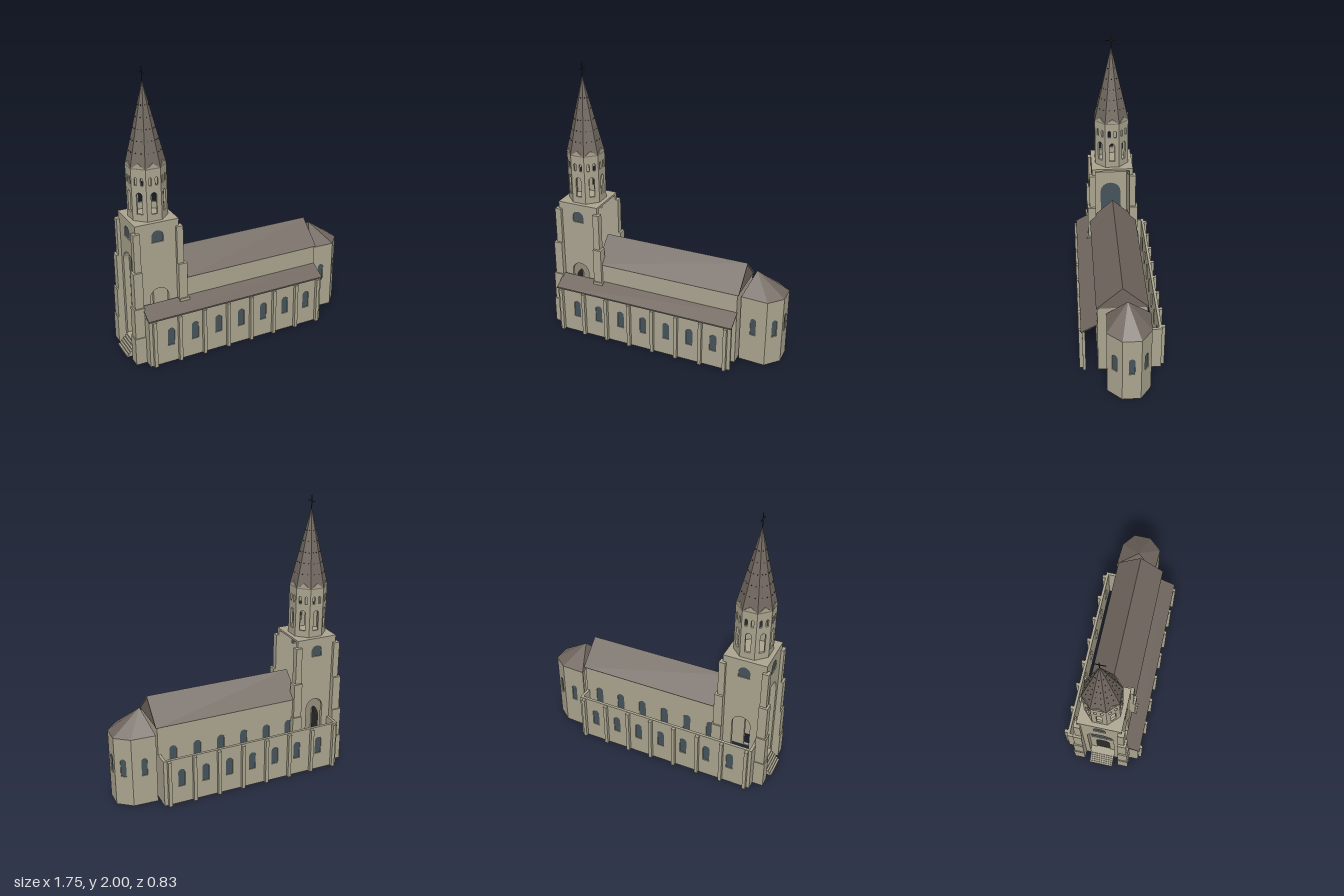
import * as THREE from 'three';

const mat = (name, color, side = THREE.FrontSide) =>
  Object.assign(new THREE.MeshStandardMaterial({ color, side, flatShading: true }), { name });
const stone = mat('stone', 0xaaa48f);
const roof = mat('roof', 0x6f665e, THREE.DoubleSide);
const glass = mat('glass', 0x46535a, THREE.DoubleSide);
const dark = mat('dark', 0x2b2b2b, THREE.DoubleSide);

function add(parent, name, geo, material, x = 0, y = 0, z = 0, ry = 0) {
  const m = new THREE.Mesh(geo, material);
  m.name = name;
  m.position.set(x, y, z);
  m.rotation.y = ry;
  parent.add(m);
  return m;
}

// Round-headed outline, width w, from y0 up to y1
function arch(Type, [cx, w, y0, y1]) {
  const r = w / 2, p = new Type();
  p.moveTo(cx - r, y0);
  p.lineTo(cx + r, y0);
  p.lineTo(cx + r, y1 - r);
  p.absarc(cx, y1 - r, r, 0, Math.PI, false);
  p.lineTo(cx - r, y0);
  return p;
}

// Wall whose outer face is at local z = 0; openings are [centre, width, bottom, top, filling]
function wall(parent, name, w, h, t, openings, x, y, z, ry, peak = 0) {
  const g = new THREE.Group();
  g.name = name;
  const s = new THREE.Shape();
  s.moveTo(-w / 2, 0);
  s.lineTo(w / 2, 0);
  s.lineTo(w / 2, h);
  if (peak) s.lineTo(0, h + peak);
  s.lineTo(-w / 2, h);
  s.closePath();
  openings.forEach(o => s.holes.push(arch(THREE.Path, o)));
  add(g, name + 'Stone', new THREE.ExtrudeGeometry(s, { depth: t, bevelEnabled: false, curveSegments: 6 }),
    stone, 0, 0, -t);
  openings.filter(o => o[4]).forEach(o =>
    add(g, name + 'Pane', new THREE.ShapeGeometry(arch(THREE.Shape, o), 6), o[4], 0, 0, -0.006));
  g.position.set(x, y, z);
  g.rotation.y = ry;
  parent.add(g);
}

// Profile of [z, y] points swept along x
function sweep(parent, name, pts, x0, x1, material) {
  const s = new THREE.Shape(pts.map(([z, y]) => new THREE.Vector2(-z, y)));
  const geo = new THREE.ExtrudeGeometry(s, { depth: x1 - x0, bevelEnabled: false });
  geo.rotateY(Math.PI / 2);
  add(parent, name, geo, material, x0);
}

const E = Math.PI / 2, W = -Math.PI / 2, N = Math.PI;

function buildNave(g) {
  const x0 = -0.49, x1 = 0.59, mid = (x0 + x1) / 2;
  for (const s of [1, -1]) {
    const openings = [];
    for (let i = 0; i < 6; i++) openings.push([s * (-0.42 + i * 0.18 - mid), 0.055, 0.25, 0.4, glass]);
    wall(g, 'naveWall', x1 - x0, 0.565, 0.02, openings, mid, 0, s * 0.17, s > 0 ? 0 : N);
  }
  wall(g, 'naveEndWall', 0.34, 0.56, 0.015, [], x1, 0, 0, E);
  sweep(g, 'naveRoof', [[-0.178, 0.56], [0, 0.725], [0.178, 0.56], [0.165, 0.555], [0, 0.71], [-0.165, 0.555]],
    x0, 0.6, roof);
  sweep(g, 'naveGable', [[-0.175, 0.56], [0, 0.722], [0.175, 0.56]], 0.585, 0.597, roof);
}

function buildAisles(g) {
  const x0 = -0.778, x1 = 0.59, mid = (x0 + x1) / 2;
  for (const s of [1, -1]) {
    const openings = [];
    for (let i = 0; i < 7; i++) openings.push([s * (-0.62 + i * 0.18 - mid), 0.052, 0.13, 0.265, glass]);
    wall(g, 'aisleWall', x1 - x0, 0.35, 0.02, openings, mid, 0, s * 0.275, s > 0 ? 0 : N);
    wall(g, 'aisleWestWall', 0.12, 0.35, 0.02, [], x0, 0, s * 0.215, W);
    for (let i = 0; i < 8; i++)
      add(g, 'aisleButtress', new THREE.BoxGeometry(0.024, 0.345, 0.026), stone,
        -0.743 + i * 0.185, 0.1725, s * 0.287);
  }
  wall(g, 'northAisleEastWall', 0.105, 0.35, 0.02, [], x1, 0, -0.2225, E);
  sweep(g, 'southAisleRoof', [[0.284, 0.345], [0.284, 0.355], [0.168, 0.42], [0.168, 0.41]], -0.782, 0.594, roof);
}

function buildApse(g) {
  const p = [[0.599, 0.11], [0.792, 0.119], [0.882, 0.021], [0.882, -0.107], [0.782, -0.183], [0.608, -0.192]];
  const apex = [0.663, 0.665, -0.029], h = 0.515, pos = [];
  p.forEach(([ax, az], i) => {
    const [bx, bz] = p[(i + 1) % p.length], dx = bx - ax, dz = bz - az;
    pos.push(ax, h, az, bx, h, bz, ...apex);
    if (i < 5) wall(g, 'apseWall', Math.hypot(dx, dz), h, 0.012, [[0, 0.042, 0.225, 0.36, glass]],
      (ax + bx) / 2, 0, (az + bz) / 2, Math.atan2(-dz, dx));
  });
  const geo = new THREE.BufferGeometry();
  geo.setAttribute('position', new THREE.Float32BufferAttribute(pos, 3));
  geo.computeVertexNormals();
  add(g, 'apseRoof', geo, roof);
}

function buildTower(g) {
  const cx = -0.645, r = 0.155;
  const belfry = [0, 0.085, 0.86, 0.945, glass], sideDoor = [0, 0.135, 0.01, 0.52];
  // Walls; the east side opens to the nave
  wall(g, 'towerSouthWall', 0.31, 1, 0.025, [sideDoor, belfry], cx, 0, r, 0);
  wall(g, 'towerNorthWall', 0.31, 1, 0.025, [sideDoor, belfry], cx, 0, -r, N);
  wall(g, 'towerWestWall', 0.31, 1, 0.04, [[0, 0.19, 0.08, 0.75], belfry], cx - r, 0, 0, W);
  wall(g, 'portalWall', 0.26, 0.83, 0.015, [[0, 0.1, 0.08, 0.36, dark], [0, 0.16, 0.44, 0.73, glass]],
    cx - r + 0.04, 0, 0, W);
  add(g, 'towerTop', new THREE.BoxGeometry(0.312, 0.015, 0.312), stone, cx, 0.994, 0);

  // Stepped corner buttresses: [bottom, top, projection]
  const steps = [[0, 0.2, 0.055], [0.2, 0.42, 0.048], [0.42, 0.68, 0.038], [0.68, 0.95, 0.022]];
  for (const sx of [1, -1]) for (const sz of [1, -1]) for (const [a, b, out] of steps) {
    const size = out + 0.025, off = r + (out - 0.025) / 2;
    add(g, 'towerButtress', new THREE.BoxGeometry(size, b - a, size), stone,
      cx + sx * off, (a + b) / 2, sz * off);
  }

  // Entrance steps
  for (let i = 0; i < 6; i++) {
    const h = 0.0133 * (i + 1);
    add(g, 'entranceStep', new THREE.BoxGeometry(0.0135, h, 0.18), stone, -0.873 + i * 0.0133, h / 2, 0);
  }

  // Octagonal belfry and spire
  const ap = 0.125, top = 1.915, base = 1.36, spireR = 0.137;
  const openings = [[0, 0.04, 0.05, 0.2], [-0.022, 0.018, 0.25, 0.305], [0.022, 0.018, 0.25, 0.305]];
  for (let i = 0; i < 8; i++) {
    const a = i * Math.PI / 4, sn = Math.sin(a), cs = Math.cos(a);
    wall(g, 'belfryWall', 0.1036, 0.36, 0.015, openings, cx + ap * sn, 1, ap * cs, a, 0.04);
    for (let k = 0; k < 5; k++) {
      const y = 1.46 + k * 0.075, d = spireR * Math.cos(Math.PI / 8) * (top - y) / (top - base);
      for (const s of k < 3 ? [-0.18, 0.18] : [0])
        add(g, 'spireVent', new THREE.BoxGeometry(0.005, 0.006, 0.006), dark,
          cx + d * sn + s * d * cs, y, d * cs - s * d * sn, a);
    }
  }
  add(g, 'spire', new THREE.ConeGeometry(spireR, top - base, 8, 1, true), roof,
    cx, (top + base) / 2, 0, Math.PI / 8);

  // Cross
  add(g, 'crossPost', new THREE.BoxGeometry(0.005, 0.095, 0.005), dark, cx, 1.9525, 0);
  add(g, 'crossArm', new THREE.BoxGeometry(0.005, 0.005, 0.08), dark, cx, 1.96, 0);
}

export function createModel() {
  const model = new THREE.Group();
  model.name = 'church';
  const g = new THREE.Group();
  g.name = 'building';
  g.position.z = -0.02;
  buildNave(g);
  buildAisles(g);
  buildApse(g);
  buildTower(g);
  // The building stands at a slight angle
  const turn = new THREE.Group();
  turn.name = 'orientation';
  turn.rotation.y = 0.186;
  turn.add(g);
  model.add(turn);
  return model;
}
